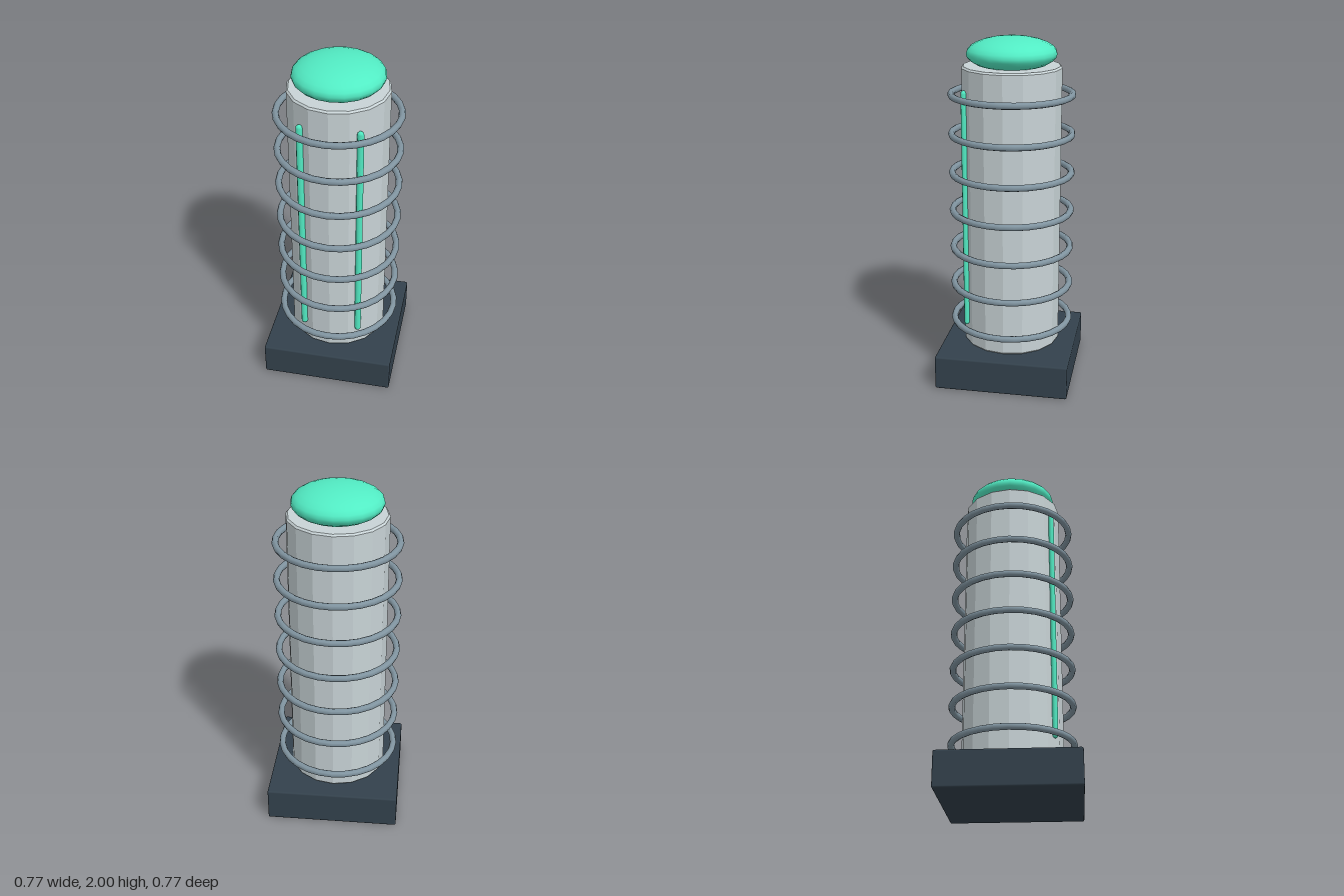
import * as THREE from 'three';
import { RoundedBoxGeometry } from 'three/addons/geometries/RoundedBoxGeometry.js';

const mat = (color, flatShading = false) => new THREE.MeshStandardMaterial({ color, flatShading });

export function createModel() {
  const model = new THREE.Group();
  const dark = mat(0x33414c), steel = mat(0x8195a1), pale = mat(0xc8d3d6, true), green = mat(0x52ecc4);

  const add = (name, geometry, material, x = 0, y = 0, z = 0) => {
    const mesh = new THREE.Mesh(geometry, material);
    mesh.name = name;
    mesh.position.set(x, y, z);
    model.add(mesh);
    return mesh;
  };

  // Square plinth with softened edges
  add('base', new RoundedBoxGeometry(0.77, 0.2, 0.77, 2, 0.01), dark, 0, 0.1, 0);

  // Sixteen-sided column with chamfered rims
  const profile = [[0, 0.2], [0.273, 0.2], [0.283, 0.21], [0.283, 1.83], [0.273, 1.84], [0, 1.84]];
  add('column', new THREE.LatheGeometry(profile.map(([r, y]) => new THREE.Vector2(r, y)), 16), pale);

  // Flattened cap, partly sunk in the column
  const cap = new THREE.SphereGeometry(0.254, 20, 14).scale(1, 0.37, 1);
  cap.rotateY(Math.PI / 2);
  add('cap', cap, green, 0, 1.906, 0);

  // Seven coil rings standing clear of the column
  const ring = new THREE.TorusGeometry(0.342, 0.019, 8, 28).rotateX(Math.PI / 2);
  for (let i = 0; i < 7; i++) add('coilRing', ring, steel, 0, 0.33 + i * 0.225, 0);

  // Two round-ended light strips on the front
  const strip = new THREE.CapsuleGeometry(0.019, 1.362, 3, 8).scale(1, 1, 0.82);
  for (const side of [-1, 1]) add('lightStrip', strip, green, side * 0.163, 1.02, 0.24);

  return model;
}
